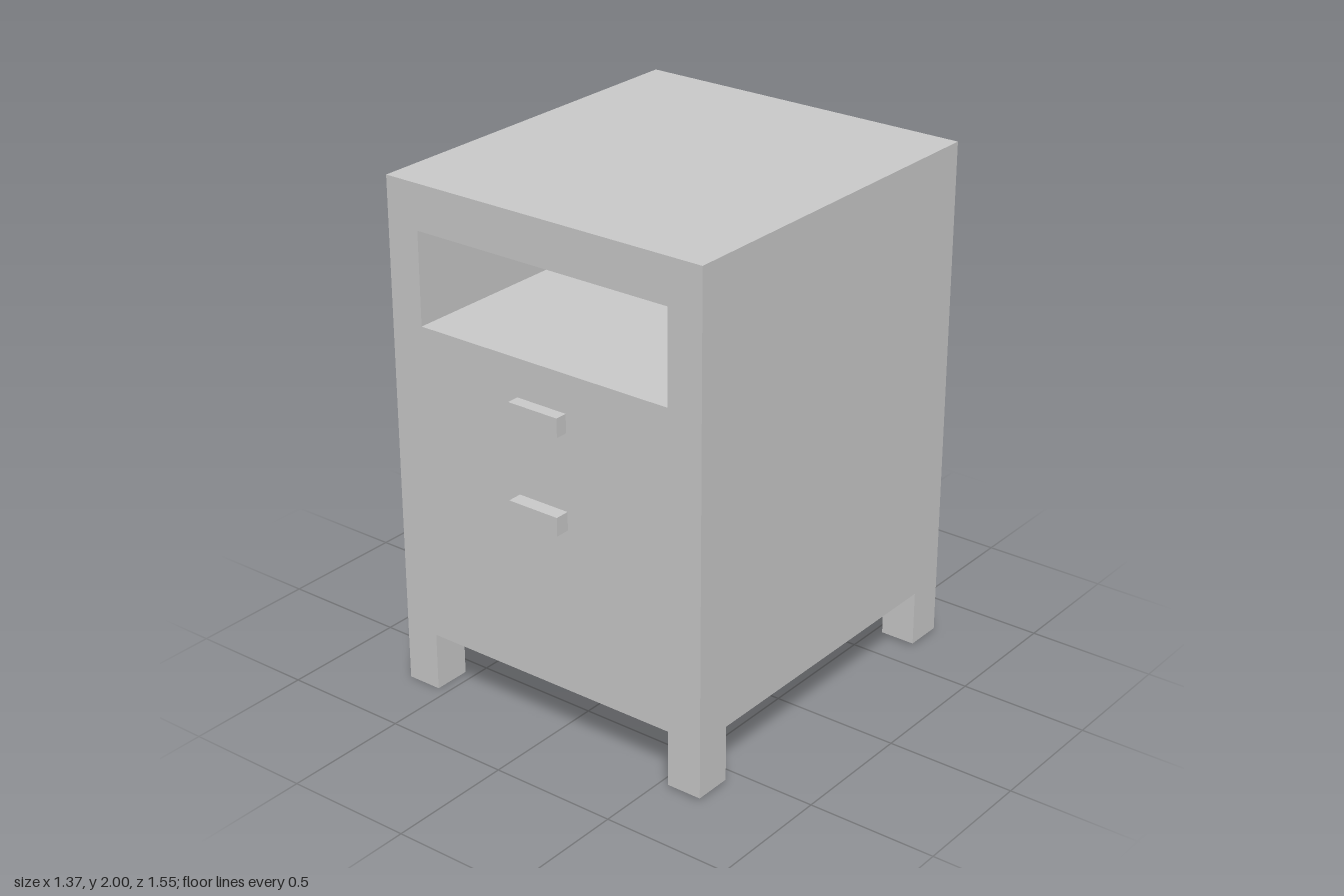
import * as THREE from 'three';

const grey = new THREE.MeshStandardMaterial({ color: 0xcccccc });

// Overall carcass limits
const X = 0.683, Y0 = 0.23, Y1 = 2, Z0 = -0.777, Z1 = 0.72;
const LEG_X = 0.14, LEG_Z = 0.15;

function add(parent, name, geometry) {
  const mesh = new THREE.Mesh(geometry, grey);
  mesh.name = name;
  parent.add(mesh);
  return mesh;
}

// Box given by its limits
function block(x0, x1, y0, y1, z0, z1) {
  return new THREE.BoxGeometry(x1 - x0, y1 - y0, z1 - z0)
    .translate((x0 + x1) / 2, (y0 + y1) / 2, (z0 + z1) / 2);
}

// Inward-facing box; openFace counts +x, -x, +y, -y, +z, -z
function pocket(openFace, ...limits) {
  const geometry = block(...limits);
  const index = Array.from(geometry.index.array)
    .filter((_, i) => Math.floor(i / 6) !== openFace).reverse();
  geometry.setIndex(index);
  geometry.computeVertexNormals();
  return geometry;
}

function rectangle(Type, x0, x1, y0, y1) {
  return new Type([[x0, y0], [x1, y0], [x1, y1], [x0, y1]].map(([x, y]) => new THREE.Vector2(x, y)));
}

// Flat panel with a rectangular opening
function openPanel(outer, hole) {
  const shape = rectangle(THREE.Shape, ...outer);
  shape.holes.push(rectangle(THREE.Path, ...hole));
  return new THREE.ShapeGeometry(shape);
}

export function createModel() {
  const model = new THREE.Group();
  model.name = 'bedsideCabinet';

  // Outer carcass
  const carcass = new THREE.Group();
  carcass.name = 'carcass';
  model.add(carcass);
  const width = 2 * X, height = Y1 - Y0, depth = Z1 - Z0;
  const midY = (Y0 + Y1) / 2, midZ = (Z0 + Z1) / 2;
  add(carcass, 'top', new THREE.PlaneGeometry(width, depth).rotateX(-Math.PI / 2).translate(0, Y1, midZ));
  add(carcass, 'back', new THREE.PlaneGeometry(width, height).rotateY(Math.PI).translate(0, midY, Z0));
  for (const [name, s] of [['leftSide', 1], ['rightSide', -1]]) {
    add(carcass, name, new THREE.PlaneGeometry(depth, height).rotateY(s * Math.PI / 2).translate(s * X, midY, midZ));
  }

  // Front with its open shelf
  const shelf = [-0.547, 0.543, 1.468, 1.826];
  add(carcass, 'front', openPanel([-X, X, Y0, Y1], shelf)).position.z = Z1;
  add(carcass, 'openShelf', pocket(4, ...shelf, Z0 + LEG_Z, Z1));

  // Underside rim and the hollow above it
  const ix = X - LEG_X, iz0 = Z0 + LEG_Z, iz1 = Z1 - LEG_Z;
  add(carcass, 'bottomRim', openPanel([-X, X, Z0, Z1], [-ix, ix, iz0, iz1]).rotateX(Math.PI / 2).translate(0, Y0, 0));
  add(carcass, 'bottomHollow', pocket(3, -ix, ix, Y0, 0.72, iz0, iz1));

  // Corner legs
  for (const [side, x0, foot] of [['Left', ix, 0.012], ['Right', -X, 0]]) {
    add(model, `front${side}Leg`, block(x0, x0 + LEG_X, foot, Y0, iz1, Z1));
    add(model, `back${side}Leg`, block(x0, x0 + LEG_X, foot, Y0, Z0, iz0));
  }

  // Drawer handles
  add(model, 'upperHandle', block(-0.11, 0.106, 1.247, 1.32, Z1, 0.768));
  add(model, 'lowerHandle', block(-0.11, 0.106, 0.875, 0.947, Z1, 0.777));

  return model;
}
